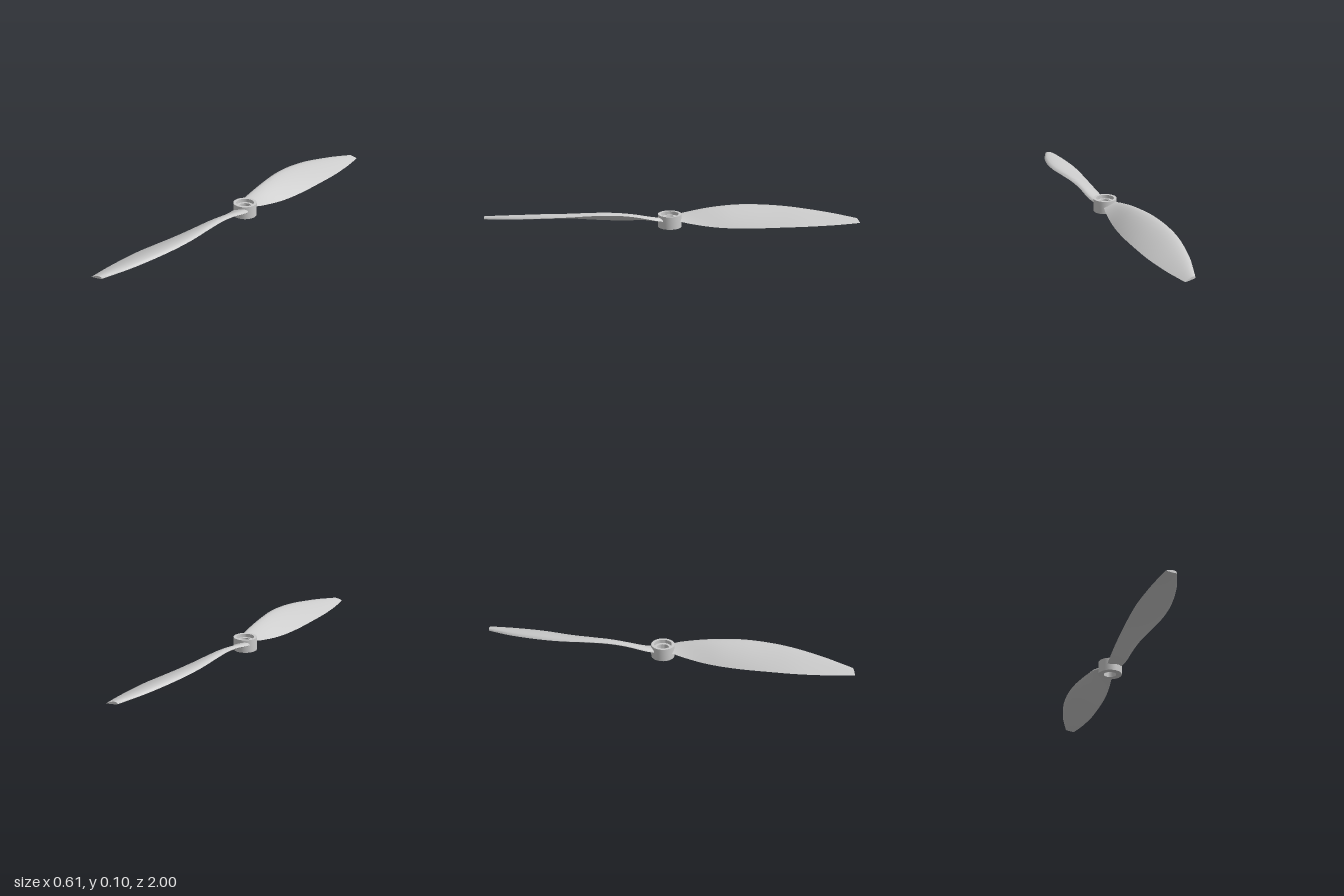
import * as THREE from 'three';
import { toCreasedNormals } from 'three/addons/utils/BufferGeometryUtils.js';

const material = new THREE.MeshStandardMaterial({ color: 0xcccccc });

// Blade stations: z, trailing edge x, y, leading edge x, y, thickness
const STATIONS = [
  [0.05, -0.045, 0.036, 0.045, 0.043, 0.016],
  [0.10, -0.068, 0.027, 0.047, 0.055, 0.018],
  [0.20, -0.110, 0.015, 0.030, 0.076, 0.021],
  [0.30, -0.148, 0.011, 0.016, 0.088, 0.023],
  [0.42, -0.188, 0.013, 0.003, 0.092, 0.023],
  [0.56, -0.230, 0.020, -0.023, 0.086, 0.022],
  [0.70, -0.267, 0.026, -0.070, 0.076, 0.021],
  [0.85, -0.292, 0.031, -0.145, 0.060, 0.018],
  [0.95, -0.302, 0.035, -0.210, 0.048, 0.014],
  [1.00, -0.305, 0.037, -0.245, 0.042, 0.011],
];

// Airfoil half thickness along the chord, peak 1, s = 0 at the leading edge
const foil = (s) =>
  10 * (0.2969 * Math.sqrt(s) - 0.126 * s - 0.3516 * s ** 2 + 0.2843 * s ** 3 - 0.1015 * s ** 4);

function bladeGeometry() {
  const spline = (pick) =>
    new THREE.CatmullRomCurve3(STATIONS.map((s) => new THREE.Vector3(...pick(s))), false, 'catmullrom', 0.5);
  const trailing = spline((s) => [s[1], s[2], s[0]]);
  const leading = spline((s) => [s[3], s[4], s[0]]);
  const thickness = spline((s) => [s[5], 0, 0]);

  const rows = 36, half = 10, ring = half * 2;
  const positions = [], index = [];
  for (let i = 0; i <= rows; i++) {
    const a = leading.getPoint(i / rows), b = trailing.getPoint(i / rows);
    const t = thickness.getPoint(i / rows).x;
    const normal = new THREE.Vector2(a.y - b.y, 0).set(-(a.y - b.y), a.x - b.x).normalize();
    // Over the curved top to the trailing edge, back along the flatter underside
    for (let j = 0; j < ring; j++) {
      const s = (1 - Math.cos((j / half) * Math.PI)) / 2;
      const h = foil(s) * t * (j <= half ? 1 : -0.18);
      positions.push(
        THREE.MathUtils.lerp(a.x, b.x, s) + normal.x * h,
        THREE.MathUtils.lerp(a.y, b.y, s) + normal.y * h,
        a.z
      );
    }
  }
  for (let i = 0; i < rows; i++) {
    for (let j = 0; j < ring; j++) {
      const a = i * ring + j, b = i * ring + ((j + 1) % ring);
      index.push(a, b, a + ring, b, b + ring, a + ring);
    }
  }
  // Root and tip caps
  const tip = rows * ring;
  for (let j = 1; j < ring - 1; j++) {
    index.push(0, j + 1, j, tip, tip + j, tip + j + 1);
  }
  const geometry = new THREE.BufferGeometry();
  geometry.setAttribute('position', new THREE.Float32BufferAttribute(positions, 3));
  geometry.setIndex(index);
  return toCreasedNormals(geometry, 0.8);
}

function hubGeometry() {
  // Bored ring with a counterbore in the top
  const profile = [
    [0.034, 0], [0.065, 0], [0.065, 0.072], [0.049, 0.072],
    [0.049, 0.052], [0.034, 0.052], [0.034, 0],
  ].map(([r, y]) => new THREE.Vector2(r, y));
  return toCreasedNormals(new THREE.LatheGeometry(profile, 32), 0.6);
}

export function createModel() {
  const model = new THREE.Group();
  model.name = 'propeller';

  const hub = new THREE.Mesh(hubGeometry(), material);
  hub.name = 'hub';
  model.add(hub);

  // Two identical blades, half a turn apart
  const geometry = bladeGeometry();
  ['frontBlade', 'backBlade'].forEach((name, i) => {
    const blade = new THREE.Mesh(geometry, material);
    blade.name = name;
    blade.rotation.y = i * Math.PI;
    model.add(blade);
  });
  return model;
}
